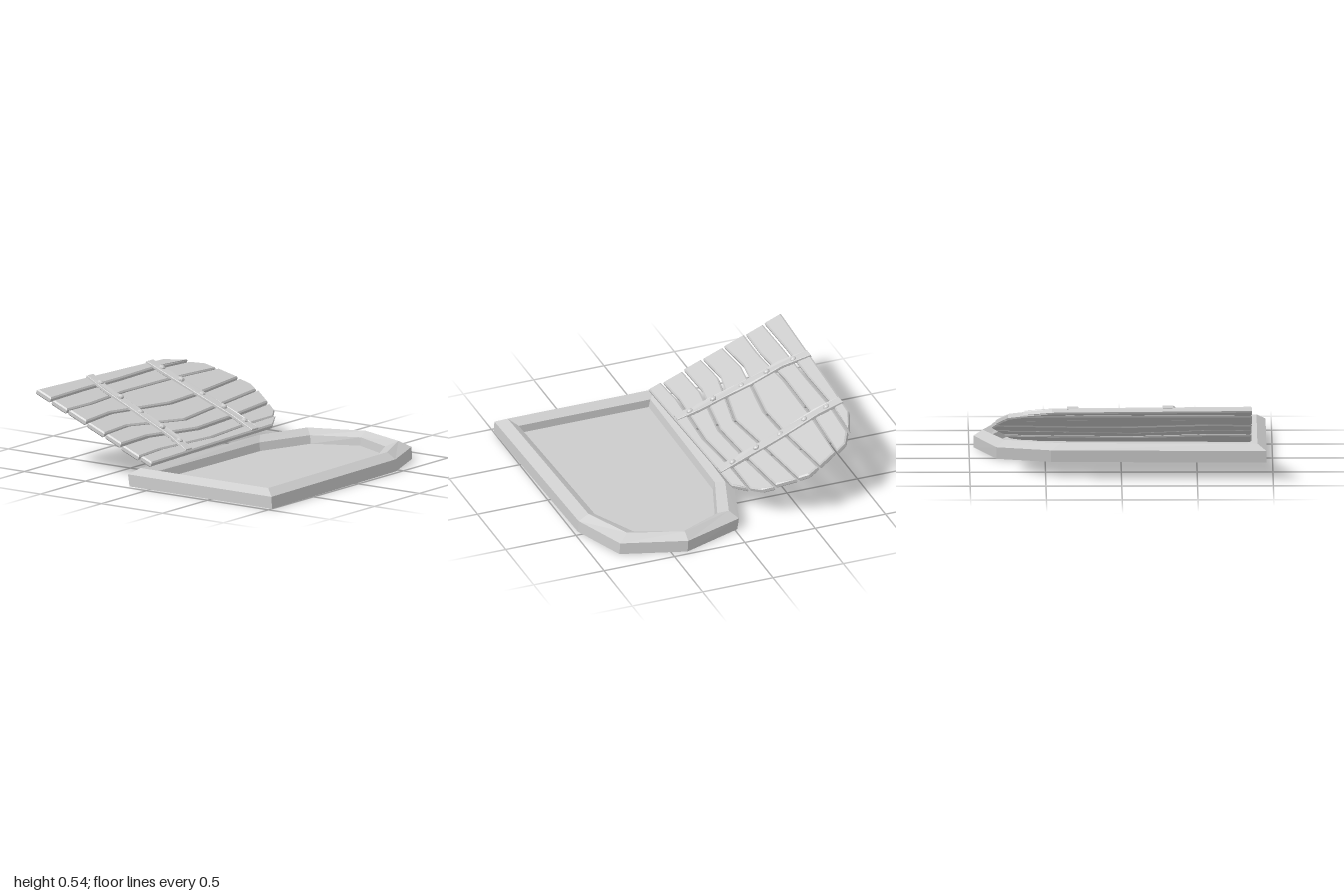
import * as THREE from 'three';

const mat = new THREE.MeshStandardMaterial({ color: 0xcccccc, flatShading: true });

function add(parent, name, geo) {
  const m = new THREE.Mesh(geo, mat);
  m.name = name;
  parent.add(m);
  return m;
}

// Tilted door plane: u across, h above the plank surface
const doorX = (u, h) => u + h * 0.38;
const doorY = (u, h) => 0.127 - 0.405 * u + h * 0.925;

// Bevelled slab on the door plane from an outline of [x, z] points
function doorSlab(outline, bottom, thick, bevel, wave = () => 0) {
  const shape = new THREE.Shape(outline.map(([x, z]) => new THREE.Vector2(x, -z)));
  const geo = new THREE.ExtrudeGeometry(shape, {
    depth: thick - 2 * bevel, bevelThickness: bevel, bevelSize: bevel,
    bevelOffset: -bevel, bevelSegments: 1,
  });
  const p = geo.attributes.position;
  for (let i = 0; i < p.count; i++) {
    const u = p.getX(i), z = -p.getY(i);
    const h = p.getZ(i) + bevel + bottom + wave(u);
    p.setXYZ(i, doorX(u, h), doorY(u, h), z);
  }
  geo.computeVertexNormals();
  return geo;
}

// Stone frame: stacked seven-sided rings, closed below and at the sunken floor
function frameGeometry() {
  const outer = [[-0.18, 0.96], [0.995, 0.96], [0.965, -0.46], [0.82, -0.835], [0.39, -0.97], [-0.03, -0.82], [-0.145, -0.46]];
  const ridge = [[-0.12, 0.9], [0.925, 0.9], [0.895, -0.46], [0.75, -0.785], [0.39, -0.91], [0.02, -0.765], [-0.1, -0.4]];
  const inner = [[-0.065, 0.84], [0.87, 0.84], [0.835, -0.42], [0.685, -0.725], [0.39, -0.855], [0.08, -0.71], [-0.055, -0.33]];
  const floor = inner.map(([x, z]) => [x + (x < 0.39 ? 0.012 : 0), z + (z < 0 ? 0.008 : 0)]);
  const foot = outer.map(([x, z]) => [x + (x < 0.39 ? 0.012 : 0.005), z]);
  const rings = [[foot, 0], [outer, 0.08], [ridge, 0.12], [inner, 0.085], [floor, 0.03]];
  const n = outer.length, pos = [], idx = [];
  for (const [ring, y] of rings) for (const [x, z] of ring) pos.push(x, y, z);
  for (let k = 0; k < rings.length - 1; k++) {
    for (let i = 0; i < n; i++) {
      const a = k * n + i, b = k * n + (i + 1) % n;
      idx.push(a, b, b + n, a, b + n, a + n);
    }
  }
  const top = (rings.length - 1) * n;
  for (let i = 1; i < n - 1; i++) {
    idx.push(top, top + i, top + i + 1);
    idx.push(0, i + 1, i);
  }
  const geo = new THREE.BufferGeometry();
  geo.setAttribute('position', new THREE.Float32BufferAttribute(pos, 3));
  geo.setIndex(idx);
  const flat = geo.toNonIndexed();
  flat.computeVertexNormals();
  return flat;
}

export function createModel() {
  const model = new THREE.Group();
  model.name = 'cellarHatch';
  add(model, 'frame', frameGeometry());

  const door = new THREE.Group();
  door.name = 'door';
  model.add(door);

  // Seams between planks, back to front
  const seams = [
    [[-0.95, -0.46], [-0.965, -0.1], [-0.998, 0.86]],
    [[-0.87, -0.65], [-0.888, -0.3], [-0.88, 0.1], [-0.882, 0.5], [-0.875, 0.86]],
    [[-0.732, -0.78], [-0.755, -0.3], [-0.76, 0.2], [-0.738, 0.6], [-0.742, 0.86]],
    [[-0.592, -0.83], [-0.55, -0.3], [-0.54, 0], [-0.607, 0.57], [-0.587, 0.86]],
    [[-0.44, -0.83], [-0.4, -0.35], [-0.36, 0.08], [-0.452, 0.59], [-0.437, 0.86]],
    [[-0.302, -0.77], [-0.27, -0.35], [-0.25, 0.08], [-0.31, 0.56], [-0.302, 0.86]],
    [[-0.165, -0.65], [-0.165, -0.35], [-0.14, 0.08], [-0.165, 0.61], [-0.152, 0.86]],
    [[-0.09, -0.53], [-0.08, 0], [-0.06, 0.86]],
  ];
  // Extra corners on the arched plank ends
  const peaks = { 1: [-0.81, -0.75], 3: [-0.51, -0.855], 5: [-0.22, -0.73] };
  const lift = [0.002, -0.003, 0.003, 0, 0.003, -0.004, 0.006];
  const gap = 0.007;
  for (let i = 0; i < 7; i++) {
    const left = seams[i].map(([x, z]) => [x + (i ? gap : 0), z]);
    const right = seams[i + 1].map(([x, z]) => [x - (i < 6 ? gap : 0), z]);
    const outline = [...left, ...right.reverse()];
    if (peaks[i]) outline.push(peaks[i]);
    add(door, 'plank' + (i + 1), doorSlab(outline, -0.04 + lift[i], 0.04, 0.009));
  }

  // Bent iron straps with domed rivets
  const straps = [
    { name: 'backStrap', half: 0.037,
      line: [[-0.955, -0.325], [-0.79, -0.315], [-0.6, -0.326], [-0.44, -0.33], [-0.26, -0.332], [-0.09, -0.325]],
      rivets: [[-0.85, -0.325], [-0.695, -0.325], [-0.52, -0.325], [-0.35, -0.332], [-0.18, -0.332]] },
    { name: 'frontStrap', half: 0.035,
      line: [[-0.98, 0.305], [-0.8, 0.35], [-0.58, 0.355], [-0.4, 0.375], [-0.24, 0.388], [-0.08, 0.425]],
      rivets: [[-0.875, 0.325], [-0.695, 0.345], [-0.52, 0.36], [-0.33, 0.382], [-0.17, 0.402]] },
  ];
  const wave = (u) => 0.004 * Math.sin(u * 15);
  for (const { name, half, line, rivets } of straps) {
    const near = line.map(([x, z]) => [x, z + half]);
    const far = line.map(([x, z]) => [x, z - half]).reverse();
    add(door, name, doorSlab([...near, ...far], -0.004, 0.022, 0.003, wave));
    for (const [u, z] of rivets) {
      const rivet = add(door, 'rivet', new THREE.SphereGeometry(0.023, 8, 6));
      const h = 0.019 + wave(u);
      rivet.position.set(doorX(u, h) - 0.005, doorY(u, h), z);
      rivet.rotation.z = -0.385;
      rivet.scale.y = 0.75;
    }
  }
  return model;
}
